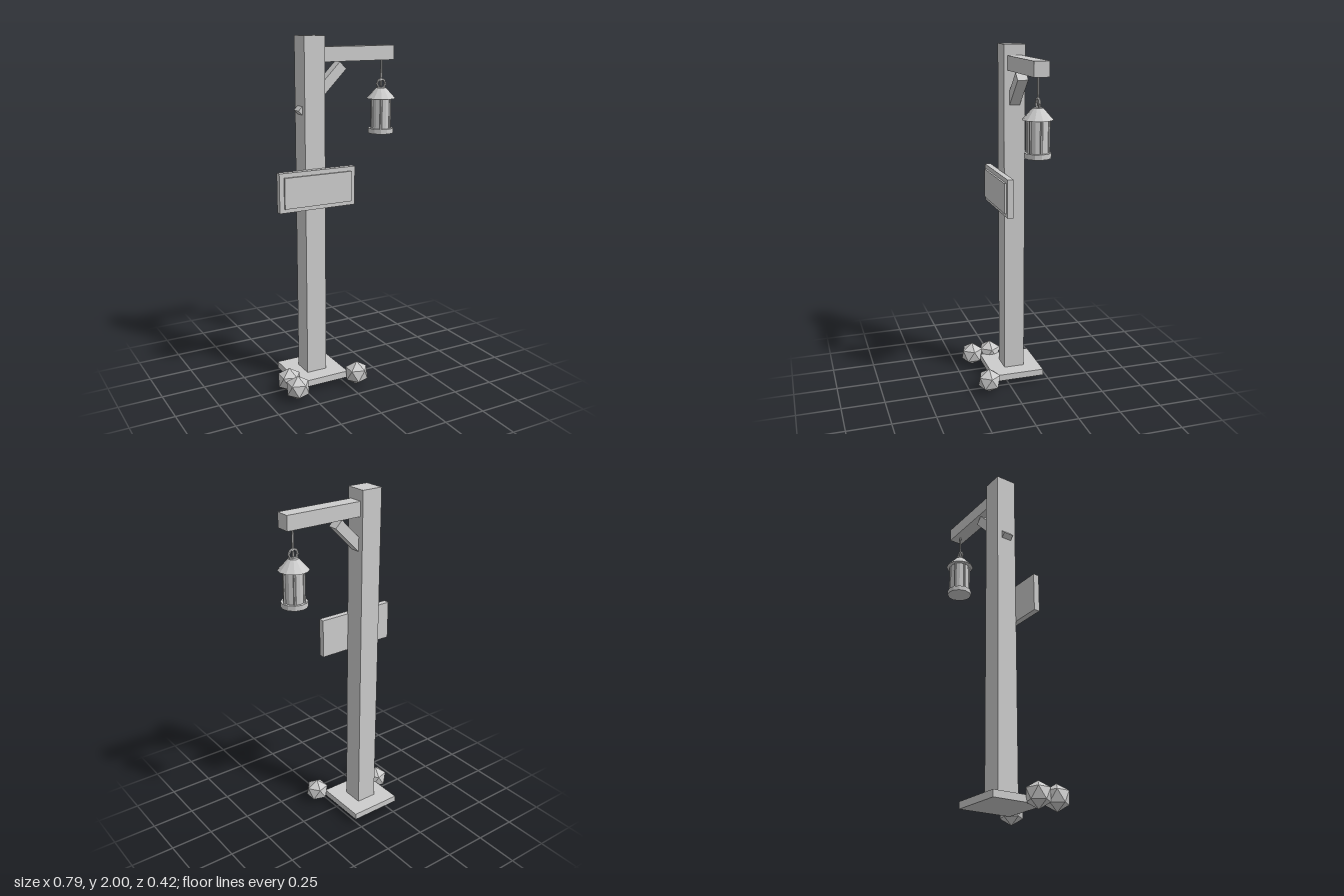
import * as THREE from 'three';

export function createModel() {
  const model = new THREE.Group();
  model.name = 'lanternSignpost';
  const grey = new THREE.MeshStandardMaterial({ color: 0xcccccc, flatShading: true });
  grey.name = 'plainGrey';

  const add = (name, geometry, x, y, z, parent = model) => {
    const mesh = new THREE.Mesh(geometry, grey);
    mesh.name = name;
    mesh.position.set(x, y, z);
    parent.add(mesh);
    return mesh;
  };
  // Box given by its lowest and highest corners
  const box = (name, [x0, y0, z0], [x1, y1, z1]) =>
    add(name, new THREE.BoxGeometry(x1 - x0, y1 - y0, z1 - z0),
      (x0 + x1) / 2, (y0 + y1) / 2, (z0 + z1) / 2);

  // Timber frame
  box('basePlate', [-0.296, 0.037, -0.21], [0.013, 0.075, 0.1]);
  box('post', [-0.202, 0.07, -0.117], [-0.08, 2, 0.005]);
  box('arm', [-0.1, 1.86, -0.097], [0.37, 1.94, -0.014]);
  const brace = add('brace', new THREE.BoxGeometry(0.36, 0.056, 0.06), -0.078, 1.711, -0.056);
  brace.rotation.z = Math.PI / 4;

  // Sign board with a raised panel
  box('signBoard', [-0.374, 1.065, 0.003], [0.09, 1.285, 0.037]);
  box('signPanel', [-0.347, 1.088, 0.03], [0.065, 1.26, 0.048]);

  // Hanging lantern, built around its own axis
  const lantern = new THREE.Group();
  lantern.name = 'lantern';
  lantern.position.set(0.313, 0, -0.056);
  model.add(lantern);
  const turned = (name, top, bottom, y0, y1, sides, x = 0, z = 0) =>
    add(name, new THREE.CylinderGeometry(top, bottom, y1 - y0, sides), x, (y0 + y1) / 2, z, lantern);
  turned('lanternBase', 0.072, 0.072, 1.445, 1.473, 12);
  turned('lanternGlass', 0.057, 0.057, 1.47, 1.645, 12);
  for (let i = 0; i < 6; i++) {
    const a = i * Math.PI / 3;
    turned('lanternBar', 0.007, 0.007, 1.47, 1.645, 6, 0.058 * Math.cos(a), 0.058 * Math.sin(a));
  }
  turned('lanternRoof', 0.028, 0.083, 1.643, 1.703, 12);
  add('lanternRing', new THREE.TorusGeometry(0.027, 0.007, 6, 8), 0, 1.725, 0, lantern);
  turned('hangingRod', 0.006, 0.006, 1.712, 1.865, 6);

  // Rocks, each standing on a corner
  const rock = new THREE.IcosahedronGeometry(0.072, 0);
  rock.rotateZ(-Math.atan(2 / (1 + Math.sqrt(5))));
  for (const [x, z] of [[-0.333, 0.145], [-0.333, 0.031], [0.051, 0.139]])
    add('rock', rock, x, 0.073, z);

  return model;
}
